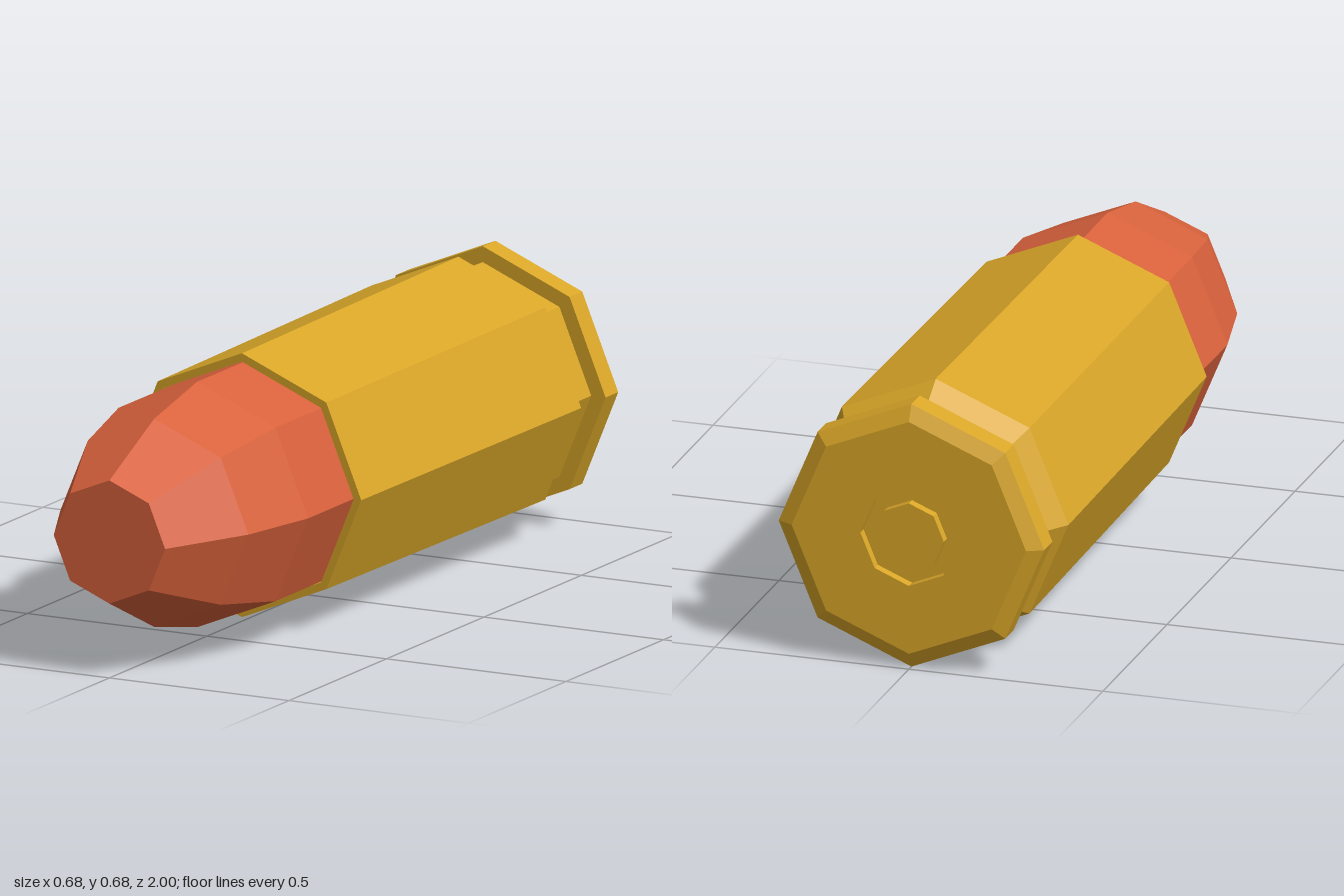
import * as THREE from 'three';

const SIDES = 8;
const AXIS_HEIGHT = 0.343;

// Turns a [radius, z] profile (back to front) into a faceted solid along z
function turned(name, color, profile) {
  const points = profile.map(([r, z]) => new THREE.Vector2(r, z));
  const geometry = new THREE.LatheGeometry(points, SIDES);
  geometry.rotateX(Math.PI / 2);
  const material = new THREE.MeshStandardMaterial({ color, flatShading: true });
  const mesh = new THREE.Mesh(geometry, material);
  mesh.name = name;
  mesh.position.y = AXIS_HEIGHT;
  return mesh;
}

export function createModel() {
  const group = new THREE.Group();
  group.name = 'cartridge';
  const brass = 0xd9a628;
  const copper = 0xd9623c;

  // Case: head with primer groove, rim, extractor groove, tapered body, mouth
  group.add(turned('case', brass, [
    [0.125, -0.975], [0.125, -1],
    [0.302, -1], [0.342, -0.98], [0.342, -0.915],
    [0.302, -0.915], [0.302, -0.85], [0.342, -0.79],
    [0.332, 0.32], [0.311, 0.32], [0.311, 0.2],
  ]));

  // Primer: central disc and the floor of its surrounding groove
  group.add(turned('primer', brass, [
    [0, -1], [0.09, -1], [0.09, -0.975], [0.125, -0.975],
  ]));

  // Bullet: seated in the mouth, curving to a flat nose
  group.add(turned('bullet', copper, [
    [0, 0.2], [0.308, 0.2], [0.309, 0.55], [0.262, 0.77], [0.155, 1], [0, 1],
  ]));

  return group;
}
